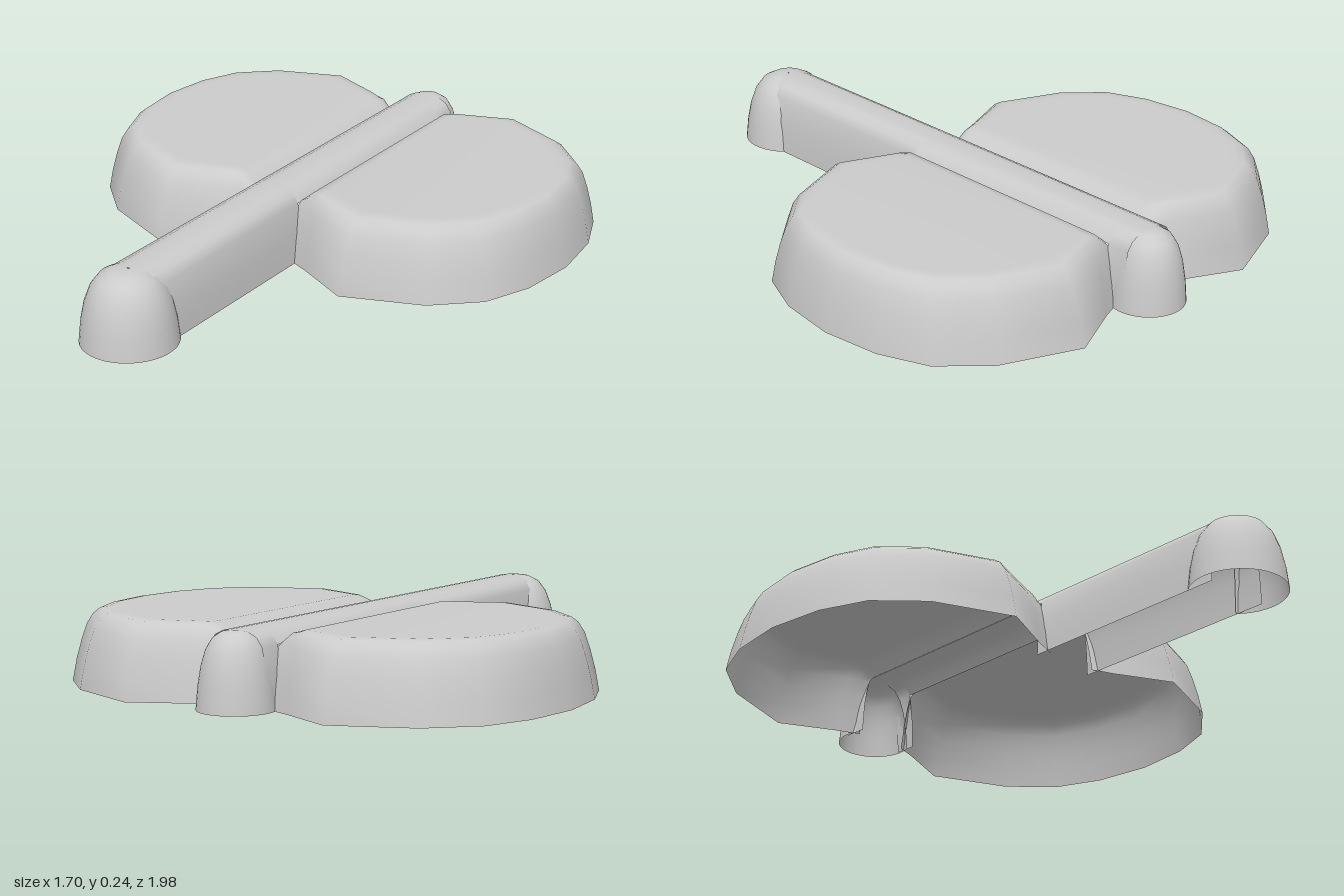
import * as THREE from 'three';
import { mergeVertices } from 'three/addons/utils/BufferGeometryUtils.js';

const material = new THREE.MeshStandardMaterial({ color: 0xcccccc, side: THREE.DoubleSide });
const TOP = 0.238;

// Skin a surface over rows of [x, y, z] points (columns run +x, rows run -z)
function skin(rows) {
  const n = rows[0].length;
  const index = [];
  for (let r = 0; r < rows.length - 1; r++) {
    for (let c = 0; c < n - 1; c++) {
      const a = r * n + c, b = a + 1, d = a + n, e = d + 1;
      index.push(a, b, d, b, e, d);
    }
  }
  const geometry = new THREE.BufferGeometry();
  geometry.setAttribute('position', new THREE.Float32BufferAttribute(rows.flat(2), 3));
  geometry.setIndex(index);
  const merged = mergeVertices(geometry, 1e-4);
  merged.computeVertexNormals();
  return merged;
}

function addMesh(group, name, geometry) {
  const mesh = new THREE.Mesh(geometry, material);
  mesh.name = name;
  group.add(mesh);
  return mesh;
}

// Wing: half outline [x, distance from the centre line], raised through a rounded wall profile
const WING_Z = -0.355;
const outline = [[0.095, 0.475], [0.13, 0.49], [0.17, 0.505], [0.36, 0.595], [0.62, 0.49],
  [0.76, 0.36], [0.825, 0.2], [0.85, 0]];
const wall = [[1, 0], [0.975, 0.07], [0.945, 0.13], [0.91, 0.185], [0.87, 0.218],
  [0.83, 0.234], [0.78, TOP], [0.74, TOP]];
const grooveHeight = [0.195, 0.226, 0.237];

function wingGeometry(side) {
  const row = (scale, y, dir) => {
    const points = outline.map(([x, dz], i) => [
      side * (x > 0.36 ? 0.36 + (x - 0.36) * scale : x),
      Math.min(y, grooveHeight[i] ?? TOP),
      WING_Z + dir * dz * scale,
    ]);
    return side > 0 ? points : points.reverse();
  };
  const front = wall.map(([s, y]) => row(s, y, 1));
  const back = wall.map(([s, y]) => row(s, y, -1)).reverse();
  return skin([...front, ...back]);
}

// Shaft: hollow arch section swept along z
const halfArch = [[0.115, 0], [0.11, 0.1], [0.095, 0.192], [0.075, 0.22], [0.045, 0.235], [0.02, TOP]];
const arch = [...halfArch.map(([x, y]) => [-x, y]), ...[...halfArch].reverse()];

function shaftGeometry(section, zFront, zBack) {
  return skin([zFront, zBack].map((z) => section.map(([x, y]) => [x, y, z])));
}

// Knob: dome left open where the shaft runs into it
function knobGeometry(radius, opening, direction) {
  const profile = [[1, 0], [0.95, 0.07], [0.87, 0.13], [0.75, 0.18], [0.58, 0.215],
    [0.36, 0.233], [0.15, TOP], [0, TOP]].map(([r, y]) => new THREE.Vector2(r * radius, y));
  const start = (direction > 0 ? -Math.PI : 0) + opening;
  return new THREE.LatheGeometry(profile, 28, start, 2 * (Math.PI - opening));
}

export function createModel() {
  const model = new THREE.Group();
  model.name = 'doubleWingedShell';

  addMesh(model, 'leftWing', wingGeometry(1));
  addMesh(model, 'rightWing', wingGeometry(-1));

  // Full-height walls outside the wings, only the ridge between them
  const shaft = new THREE.Group();
  shaft.name = 'shaft';
  addMesh(shaft, 'handle', shaftGeometry(arch, 0.83, 0.08));
  addMesh(shaft, 'ridge', shaftGeometry(arch.slice(2, -2), 0.08, -0.79));
  addMesh(shaft, 'rearStub', shaftGeometry(arch, -0.79, -0.87));
  model.add(shaft);

  addMesh(model, 'frontKnob', knobGeometry(0.155, 0.8, 1)).position.z = 0.835;
  addMesh(model, 'rearKnob', knobGeometry(0.122, 1.1, -1)).position.z = -0.868;
  return model;
}
